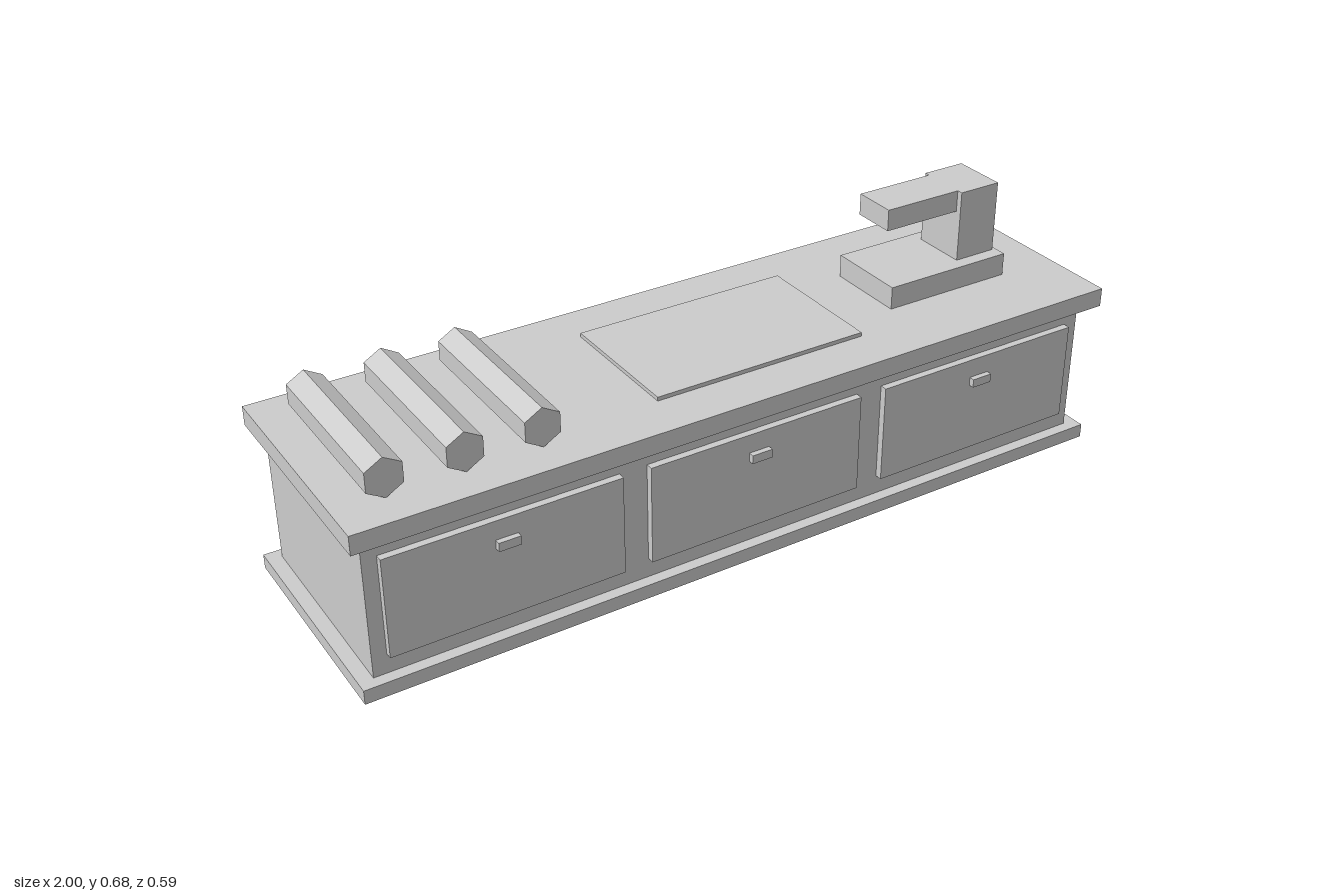
import * as THREE from 'three';

export function createModel() {
  const group = new THREE.Group();
  group.name = 'kitchenCounter';
  const grey = new THREE.MeshStandardMaterial({ color: 0xcccccc, side: THREE.DoubleSide });
  grey.name = 'lightGrey';

  const add = (name, geometry) => {
    const mesh = new THREE.Mesh(geometry, grey);
    mesh.name = name;
    group.add(mesh);
  };
  // box given by its limits; open = without the underside
  const box = (name, x0, x1, y0, y1, z0, z1, open = false) => {
    const g = new THREE.BoxGeometry(x1 - x0, y1 - y0, z1 - z0);
    if (open) {
      const index = Array.from(g.index.array);
      index.splice(18, 6);
      g.setIndex(index);
      g.clearGroups();
    }
    g.translate((x0 + x1) / 2, (y0 + y1) / 2, (z0 + z1) / 2);
    add(name, g);
  };

  // Cabinet: hollow plinth and worktop slabs around a solid body
  box('plinth', -1, 1, 0, 0.036, -0.295, 0.283, true);
  box('body', -0.965, 0.965, 0.036, 0.389, -0.267, 0.254);
  box('worktop', -1, 1, 0.389, 0.437, -0.295, 0.297, true);

  // Three drawer fronts with handles
  for (const x of [-0.644, -0.002, 0.641]) {
    box('drawerFront', x - 0.286, x + 0.286, 0.086, 0.338, 0.254, 0.272);
    box('drawerHandle', x - 0.027, x + 0.027, 0.268, 0.29, 0.272, 0.286);
  }

  // Flat board on the worktop
  box('board', -0.212, 0.35, 0.437, 0.447, -0.175, 0.176);

  // Six-sided rolls standing on an edge
  for (const x of [-0.88, -0.698, -0.516]) {
    const g = new THREE.CylinderGeometry(0.049, 0.049, 0.42, 6).rotateX(Math.PI / 2).toNonIndexed();
    g.computeVertexNormals();
    g.translate(x, 0.486, 0);
    add('roll', g);
  }

  // Machine: base, column and overhanging arm
  box('machineBase', 0.492, 0.842, 0.437, 0.495, -0.105, 0.105);
  box('machineColumn', 0.718, 0.832, 0.495, 0.677, -0.07, 0.071);
  box('machineArm', 0.507, 0.718, 0.622, 0.677, -0.056, 0.056);

  return group;
}
